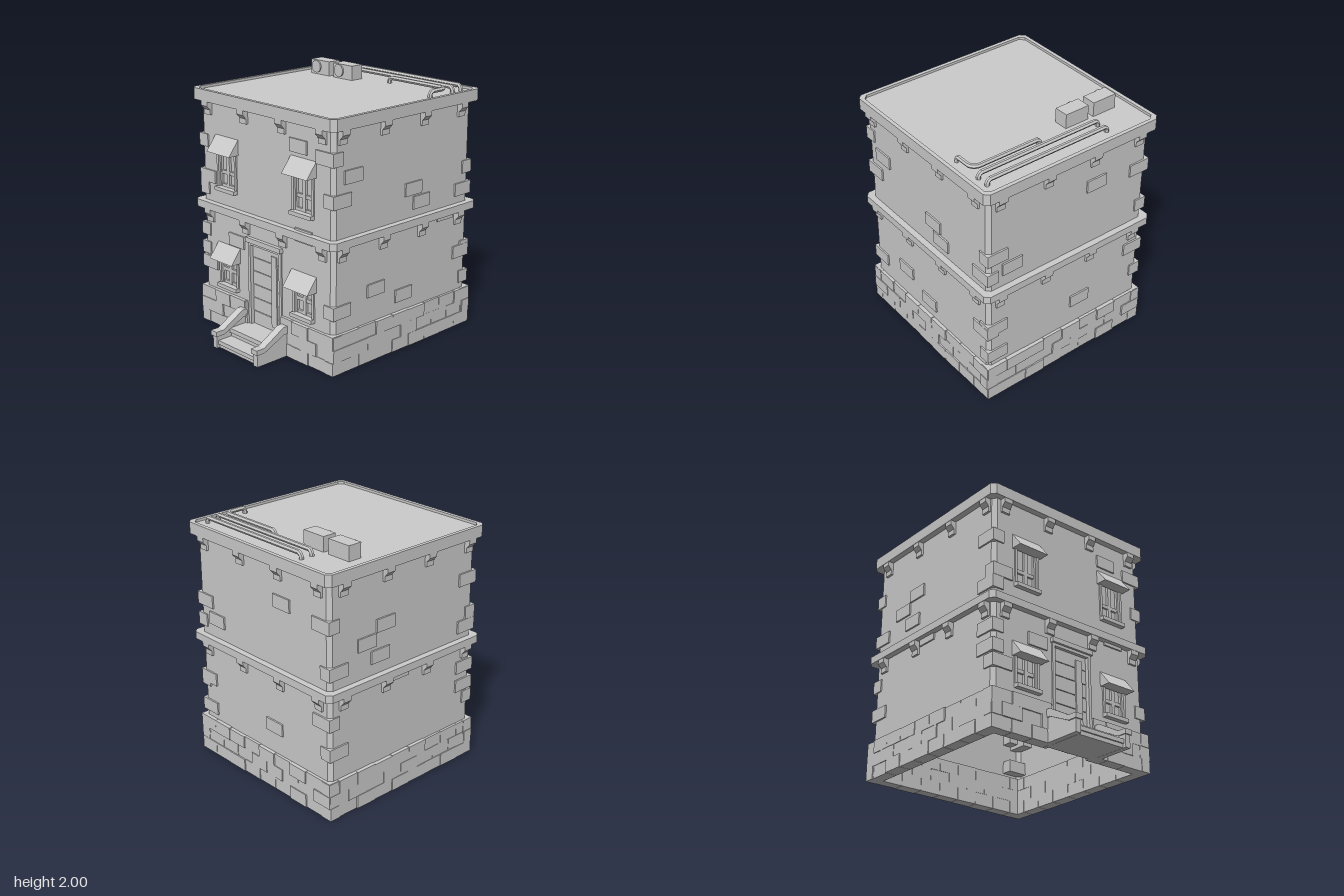
import * as THREE from 'three';

const mat = new THREE.MeshStandardMaterial({ color: 0xcccccc, flatShading: true });
const sheetMat = new THREE.MeshStandardMaterial({ color: 0xcccccc, flatShading: true, side: THREE.DoubleSide });
const CZ = -0.14;   // building centre in z
const W = 0.73;     // half width of the walls

function add(parent, name, geometry, x = 0, y = 0, z = 0, material = mat) {
  const mesh = new THREE.Mesh(geometry, material);
  mesh.name = name;
  mesh.position.set(x, y, z);
  parent.add(mesh);
  return mesh;
}

// Box given by its limits on each axis
function box(parent, name, x0, x1, y0, y1, z0, z1) {
  return add(parent, name, new THREE.BoxGeometry(x1 - x0, y1 - y0, z1 - z0),
    (x0 + x1) / 2, (y0 + y1) / 2, (z0 + z1) / 2);
}

// Side profile of [z, y] points, extruded along x
function prism(points, width) {
  const shape = new THREE.Shape(points.map(p => new THREE.Vector2(p[0], p[1])));
  return new THREE.ExtrudeGeometry(shape, { depth: width, bevelEnabled: false })
    .translate(0, 0, -width / 2).rotateY(-Math.PI / 2);
}

// Square plan with cut corners
function plan(h, c) {
  return [[h, c - h], [h, h - c], [h - c, h], [c - h, h], [-h, h - c], [-h, c - h], [c - h, -h], [h - c, -h]]
    .map(p => new THREE.Vector2(p[0], p[1]));
}

function slab(parent, name, half, y0, y1, holeHalf) {
  const shape = new THREE.Shape(plan(half, 0.035));
  if (holeHalf) shape.holes.push(new THREE.Path(plan(holeHalf, 0.035)));
  const g = new THREE.ExtrudeGeometry(shape, { depth: y1 - y0, bevelEnabled: false }).rotateX(-Math.PI / 2);
  add(parent, name, g, 0, y0, 0);
}

function rectPath(x0, x1, y0, y1) {
  return new THREE.Path([[x0, y0], [x0, y1], [x1, y1], [x1, y0]].map(p => new THREE.Vector2(p[0], p[1])));
}

// Sash window with sill and sloping awning, on the local +z face
function windowUnit(parent, x, sill, awning) {
  const g = new THREE.Group();
  g.name = 'window';
  g.position.set(x, 0, W);
  parent.add(g);
  const top = awning + 0.05, low = sill + 0.03, mid = sill + 0.145;
  box(g, 'glass', -0.1, 0.1, low, top, -0.035, -0.025);
  for (const s of [-1, 1]) {
    box(g, 'frameSide', s * 0.103 - 0.011, s * 0.103 + 0.011, low, top, -0.05, 0.012);
    box(g, 'sashSide', s * 0.085 - 0.008, s * 0.085 + 0.008, low, top, -0.03, -0.005);
  }
  box(g, 'mullion', -0.016, 0.016, low, top, -0.03, -0.005);
  box(g, 'transom', -0.092, 0.092, mid - 0.014, mid + 0.014, -0.03, -0.008);
  box(g, 'sashBottom', -0.092, 0.092, low, low + 0.022, -0.03, -0.008);
  box(g, 'frameTop', -0.114, 0.114, top - 0.02, top + 0.005, -0.05, 0.012);
  box(g, 'sill', -0.114, 0.114, sill, low, -0.05, 0.04);
  add(g, 'awning', prism([[0, awning], [0.093, awning], [0, awning + 0.12]], 0.265));
}

// Rooftop pipe whose ends turn down into the roof
function pipe(parent, points) {
  const path = new THREE.CurvePath();
  const v = points.map(p => new THREE.Vector3(...p));
  for (let i = 1; i < v.length; i++) path.add(new THREE.LineCurve3(v[i - 1], v[i]));
  add(parent, 'roofPipe', new THREE.TubeGeometry(path, 72, 0.018, 6), 0, 0, 0, sheetMat);
}

export function createModel() {
  const model = new THREE.Group();
  model.name = 'building';
  const body = new THREE.Group();
  body.name = 'body';
  body.position.z = CZ;
  model.add(body);

  // Four faces in order: front, left, back, right; each is worked on its local +z side
  const faces = ['frontFace', 'leftFace', 'backFace', 'rightFace'].map((name, i) => {
    const g = new THREE.Group();
    g.name = name;
    g.rotation.y = i * Math.PI / 2;
    body.add(g);
    return g;
  });

  // Walls: hollow, open below, with narrow cut corners
  const c = 0.03, wallTop = 1.84, windows = [];
  for (const x of [-0.425, 0.425]) windows.push([x, 1.135, 1.445], [x, 0.345, 0.585]);
  faces.forEach((face, i) => {
    const shape = new THREE.Shape(rectPath(c - W, W - c, 0, wallTop).getPoints());
    if (i === 0) {
      for (const [x, s, a] of windows) shape.holes.push(rectPath(x - 0.1, x + 0.1, s + 0.02, a + 0.04));
      shape.holes.push(rectPath(-0.165, 0.165, 0.12, 0.785));
    }
    add(face, 'wall', new THREE.ShapeGeometry(shape), 0, 0, W, sheetMat);
    const corner = add(face, 'cutCorner', new THREE.PlaneGeometry(c * Math.SQRT2, wallTop),
      W - c / 2, wallTop / 2, W - c / 2, sheetMat);
    corner.rotation.y = Math.PI / 4;
  });
  for (const w of windows) windowUnit(faces[0], ...w);

  // String course, roof slab and parapet rim
  slab(body, 'stringCourse', 0.78, 0.96, 1.02);
  slab(body, 'roofSlab', 0.78, 1.815, 1.885);
  slab(body, 'roofRim', 0.78, 1.885, 1.905, 0.75);

  // Corbels under both slabs
  const corbel = prism([[-0.02, -0.107], [0.018, -0.107], [0.018, -0.067], [0.047, -0.035], [0.047, 0], [-0.02, 0]], 0.073);
  faces.forEach((face, i) => {
    const us = i % 2 ? [-0.65, -0.23, 0.19, 0.605] : [-0.63, -0.21, 0.21, 0.63];
    for (const u of us) for (const y of [0.96, 1.815]) add(face, 'corbel', corbel, i === 3 ? -u : u, y, W);
  });

  // Scattered bricks per face as [u, y]; those near the corners act as quoins
  const brickGeo = new THREE.BoxGeometry(0.178, 0.1, 0.1);
  const bricks = [
    [[0.38, 1.645], [0.43, 0.985], [-0.652, 1.22], [-0.325, 0.765], [-0.652, 0.51], [0.652, 1.605]],
    [[-0.54, 1.465], [-0.652, 1.3], [0.09, 1.245], [0.18, 1.13], [0.455, 0.97], [-0.3, 0.555],
      [-0.652, 0.47], [0, 0.433], [0.652, 1.13], [0.652, 0.62]],
    [[0.24, 1.54], [-0.52, 1.17], [-0.652, 1.3], [-0.652, 0.65], [0.13, 0.52], [0.652, 1.5], [0.652, 0.76], [-0.652, 0.4]],
    [[-0.2, 1.39], [-0.38, 1.29], [-0.25, 1.16], [-0.05, 0.96], [0.652, 1.5], [0.652, 1.12], [0.652, 0.625],
      [0.652, 0.78], [-0.652, 1.15], [-0.652, 0.52]],
  ];
  faces.forEach((face, i) => {
    for (const [u, y] of bricks[i]) add(face, 'brick', brickGeo, u, y, W - 0.037);
  });

  // Base: three staggered courses of slightly uneven stones
  let seed = 7;
  const rand = () => (seed = (seed * 16807) % 2147483647) / 2147483647;
  faces.forEach((face, i) => {
    for (let row = 0; row < 3; row++) {
      const end = 0.753, step = 0.178;
      for (let u = -end - ((row + i) % 2) * 0.09; u < end; u += step) {
        const a = Math.max(u, -end), b = Math.min(u + step - 0.003, end);
        if (b - a < 0.02) continue;
        const out = 0.748 + rand() * 0.014, y1 = row * 0.1 + 0.098 + rand() * 0.006;
        const stone = (p, q) => q - p > 0.015 && box(face, 'baseStone', p, q, row * 0.1, y1, W - 0.07, out);
        if (i === 0) { // leave the doorway clear
          stone(a, Math.min(b, -0.19));
          stone(Math.max(a, 0.19), b);
        } else stone(a, b);
      }
    }
  });

  // Door with planks, frame, lintel and a tall narrow light
  const door = new THREE.Group();
  door.name = 'door';
  door.position.z = 0.59;
  model.add(door);
  box(door, 'doorPanel', -0.165, 0.165, 0.12, 0.79, -0.04, -0.025);
  for (let i = 0; i < 6; i++) {
    const y = 0.13 + i * 0.109;
    box(door, 'doorPlank', -0.16, 0.16, y, y + 0.104, -0.03, -0.016);
  }
  box(door, 'doorLight', 0.055, 0.115, 0.165, 0.735, -0.03, -0.006);
  for (const s of [-1, 1]) box(door, 'doorJamb', s * 0.175 - 0.013, s * 0.175 + 0.013, 0.1, 0.795, -0.05, 0.012);
  box(door, 'doorHead', -0.188, 0.188, 0.775, 0.8, -0.05, 0.012);
  box(door, 'lintel', -0.197, 0.197, 0.797, 0.835, -0.05, 0.03);

  // Front steps with sloping side walls
  const steps = new THREE.Group();
  steps.name = 'frontSteps';
  model.add(steps);
  box(steps, 'upperStep', -0.21, 0.21, 0, 0.1, 0.55, 0.765);
  box(steps, 'upperTread', -0.21, 0.21, 0.095, 0.13, 0.55, 0.778);
  box(steps, 'lowerStep', -0.21, 0.21, 0, 0.035, 0.55, 0.88);
  box(steps, 'lowerTread', -0.21, 0.21, 0.03, 0.062, 0.55, 0.892);
  const cheek = prism([[0.58, 0], [0.905, 0], [0.905, 0.11], [0.84, 0.11], [0.655, 0.2], [0.58, 0.2]], 0.046);
  const rail = prism([[0.58, 0.185], [0.65, 0.185], [0.84, 0.098], [0.916, 0.098], [0.916, 0.137], [0.845, 0.137],
    [0.655, 0.245], [0.58, 0.245]], 0.065);
  for (const s of [-1, 1]) {
    add(steps, 'sideWall', cheek, s * 0.235);
    add(steps, 'sideWallCap', rail, s * 0.235);
  }

  // Air conditioning units with round fans
  const fan = new THREE.CylinderGeometry(0.05, 0.05, 0.02, 16).rotateX(Math.PI / 2);
  for (const x of [-0.635, -0.378]) {
    box(model, 'airUnit', x, x + 0.207, 1.88, 2.0, -0.6, -0.485);
    add(model, 'airUnitFan', fan, x + 0.065, 1.947, -0.483);
  }

  // Roof pipes
  const hi = 1.929, lo = 1.875;
  for (const z of [-0.8, -0.705]) {
    pipe(model, [[-0.375, lo, z], [-0.375, 1.91, z], [-0.355, hi, z], [0.66, hi, z], [0.68, 1.91, z], [0.68, lo, z]]);
  }
  pipe(model, [[0.1, lo, -0.635], [0.1, 1.91, -0.635], [0.12, hi, -0.635], [0.63, hi, -0.635], [0.66, hi, -0.62],
    [0.675, hi, -0.59], [0.675, hi, -0.475], [0.675, 1.91, -0.455], [0.675, lo, -0.455]]);

  return model;
}
